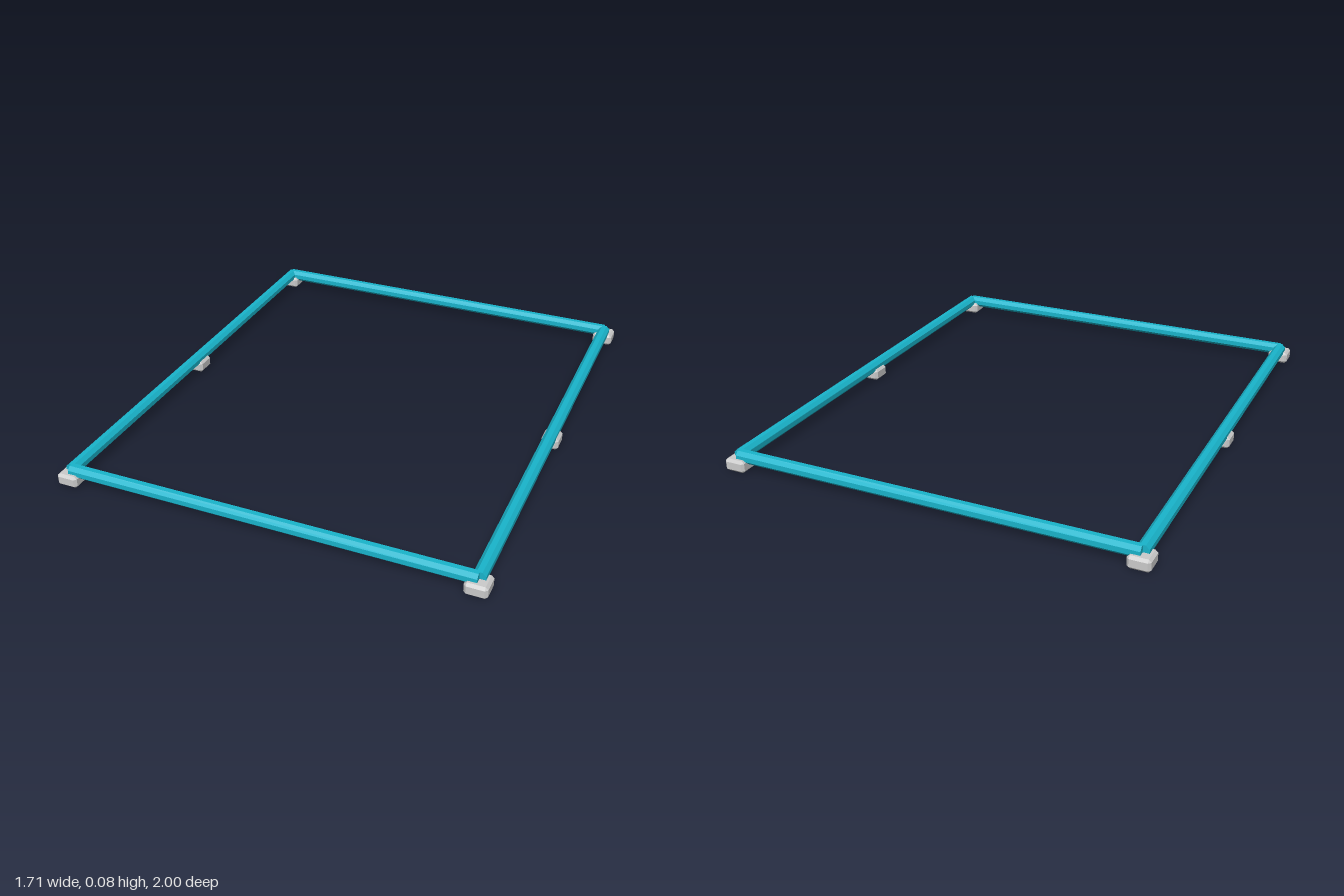
import * as THREE from 'three';
import { ConvexGeometry } from 'three/addons/geometries/ConvexGeometry.js';

const X = 0.81, Z = 0.957;          // rail centre lines
const RAIL_Y = 0.054, APOTHEM = 0.024;
const FOOT_H = 0.05;

// Box with every edge chamfered by c
function chamferBox(w, h, d, c) {
  const points = [];
  for (const sx of [-1, 1]) for (const sy of [-1, 1]) for (const sz of [-1, 1]) {
    for (let full = 0; full < 3; full++) {
      const inset = (axis) => (axis === full ? 0 : c);
      points.push(new THREE.Vector3(
        sx * (w / 2 - inset(0)), sy * (h / 2 - inset(1)), sz * (d / 2 - inset(2))));
    }
  }
  return new ConvexGeometry(points);
}

// Octagonal bar with a flat face on top
function railGeometry(length, alongX) {
  const geometry = new THREE.CylinderGeometry(
    APOTHEM / Math.cos(Math.PI / 8), APOTHEM / Math.cos(Math.PI / 8), length, 8);
  geometry.rotateY(Math.PI / 8);
  return alongX ? geometry.rotateZ(Math.PI / 2) : geometry.rotateX(Math.PI / 2);
}

export function createModel() {
  const model = new THREE.Group();
  model.name = 'rectangularFrame';
  const teal = new THREE.MeshStandardMaterial({ color: 0x19b5cc, flatShading: true });
  const grey = new THREE.MeshStandardMaterial({ color: 0xcccccc, flatShading: true });

  const add = (name, geometry, material, x, y, z) => {
    const mesh = new THREE.Mesh(geometry, material);
    mesh.name = name;
    mesh.position.set(x, y, z);
    model.add(mesh);
  };

  // Four rails, meeting at the corner centres
  const endRail = railGeometry(2 * X, true);
  const sideRail = railGeometry(2 * Z, false);
  add('frontRail', endRail, teal, 0, RAIL_Y, Z);
  add('backRail', endRail, teal, 0, RAIL_Y, -Z);
  add('leftRail', sideRail, teal, X, RAIL_Y, 0);
  add('rightRail', sideRail, teal, -X, RAIL_Y, 0);

  // Feet under the corners and the middle of each side rail
  const cornerFoot = chamferBox(0.086, FOOT_H, 0.086, 0.01);
  const middleFoot = chamferBox(0.07, FOOT_H, 0.084, 0.01);
  for (const [side, x] of [['left', X], ['right', -X]]) {
    add(side + 'FrontFoot', cornerFoot, grey, x, FOOT_H / 2, Z);
    add(side + 'MiddleFoot', middleFoot, grey, x, FOOT_H / 2, 0);
    add(side + 'BackFoot', cornerFoot, grey, x, FOOT_H / 2, -Z);
  }
  return model;
}
